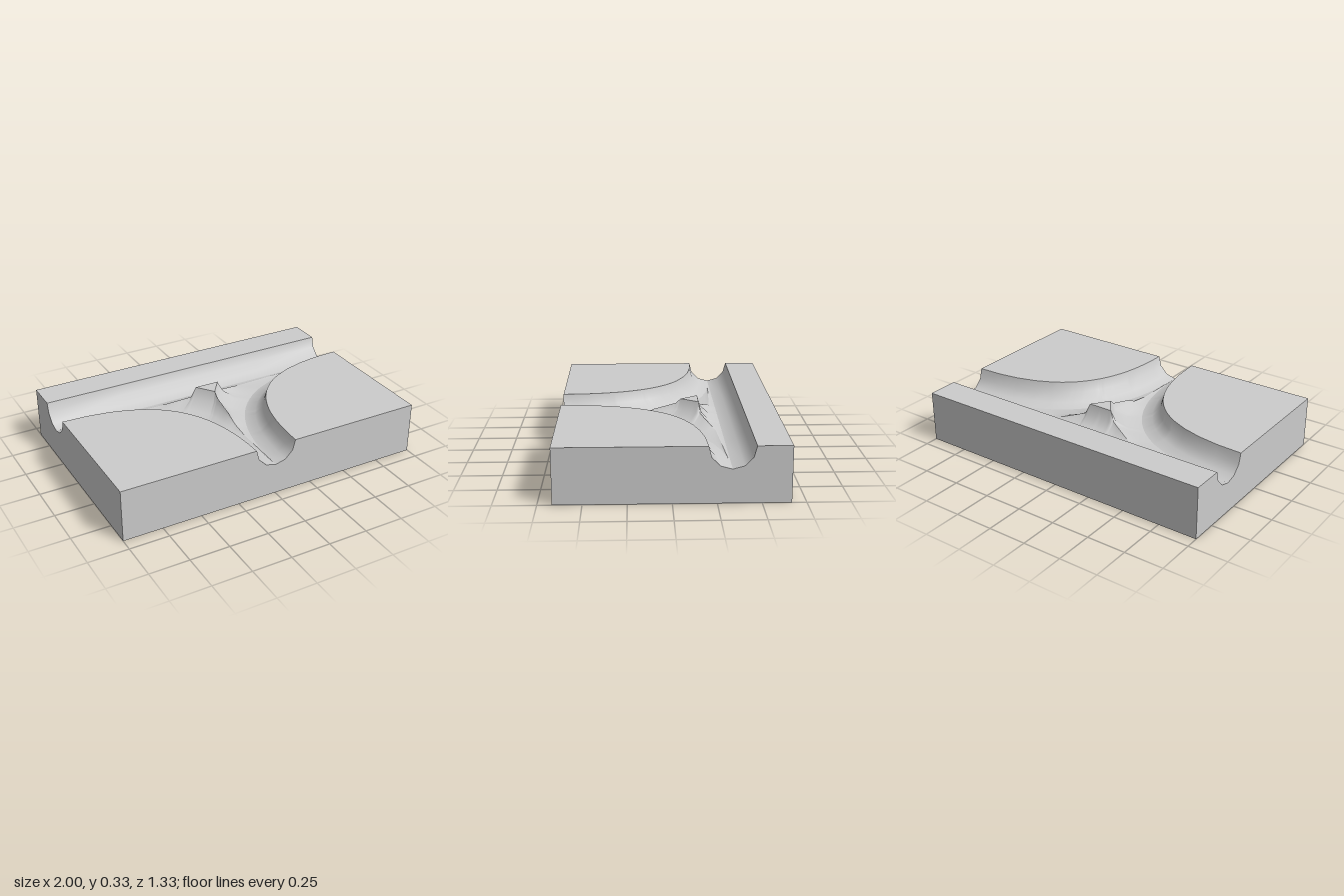
import * as THREE from 'three';

const W = 1, D = 0.667, H = 0.333, R = 0.133; // half width, half depth, height, groove radius
const ZC = -0.333;                            // centre line of the straight groove
const ARC = [0, 1, 2, 3].map(i => Math.sin(i * Math.PI / 6)); // quarter of a twelve-sided profile

// Ridge around the island: [curve parameter, x, y, z]
const RIDGE = [
  [0, 1, 0.2, ZC], [0.36, 0.3, 0.207, -0.295], [0.47, 0.11, 0.265, -0.21], [0.52, 0.08, H, -0.2],
  [0.62, 0, H, -0.09], [0.64, 0, 0.305, -0.06], [0.7, 0, 0.267, 0.08],
  [0.75, 0, 0.224, 0.18], [0.8, 0, 0.206, 0.3], [1, 0, 0.2, D],
];

// Split every span between knots
function subdivide(knots, n) {
  const out = [knots[0]];
  for (let i = 1; i < knots.length; i++) {
    for (let j = 1; j <= n; j++) out.push(THREE.MathUtils.lerp(knots[i - 1], knots[i], j / n));
  }
  return out;
}
const TS = subdivide(RIDGE.map(k => k[0]), 4);

// Point on the ridge at column c (0 = curve parameter, 1 = x)
function ridgeAt(v, c) {
  const rising = RIDGE[1][c] > RIDGE[0][c];
  let i = 1;
  while (i < RIDGE.length - 1 && (rising ? v > RIDGE[i][c] : v < RIDGE[i][c])) i++;
  const a = RIDGE[i - 1], b = RIDGE[i];
  const f = (v - a[c]) / (b[c] - a[c]);
  return new THREE.Vector3(...[1, 2, 3].map(k => a[k] + (b[k] - a[k]) * f));
}

// Centre line and rim of the curved groove
const centre = t => new THREE.Vector3((1 - t) ** 2, H - R, ZC + t * t);
function rim(t) {
  const n = new THREE.Vector3(t, 0, 1 - t).normalize().multiplyScalar(R);
  return centre(t).add(n).setY(H);
}

// Groove wall rising on a round profile from a floor line to a top line
function grooveWall(us, floor, top, mirror = 1) {
  const pos = [], idx = [], m = ARC.length;
  us.forEach((u, i) => {
    const a = floor(u), b = top(u);
    const k = Math.sqrt(Math.max(0, 1 - (1 - (b.y - a.y) / R) ** 2));
    ARC.forEach((s, j) => {
      const y = a.y + R * (1 - Math.sqrt(Math.max(0, 1 - (k * s) ** 2)));
      pos.push(mirror * (a.x + (b.x - a.x) * s), y, a.z + (b.z - a.z) * s);
      if (i && j) {
        const p = i * m + j, q = p - m;
        idx.push(q - 1, p - 1, p, q - 1, p, q);
      }
    });
  });
  const g = new THREE.BufferGeometry();
  g.setAttribute('position', new THREE.Float32BufferAttribute(pos, 3));
  g.setIndex(idx);
  g.computeVertexNormals();
  // Turn the faces upward where the mirroring flipped them
  const n = g.attributes.normal;
  let up = 0;
  for (let i = 0; i < n.count; i++) up += n.getY(i);
  if (up < 0) {
    for (let i = 0; i < idx.length; i += 3) [idx[i], idx[i + 1]] = [idx[i + 1], idx[i]];
    g.setIndex(idx);
    g.computeVertexNormals();
  }
  return g;
}

const polygon = pts => new THREE.ShapeGeometry(new THREE.Shape(pts.map(p => new THREE.Vector2(p[0], p[1]))));
// Flat horizontal face from [x, z] points
const flat = (pts, y) => polygon(pts.map(([x, z]) => [x, -z])).rotateX(-Math.PI / 2).translate(0, y, 0);

// Upright side with an optional groove opening centred at u
function side(half, u, angle, distance) {
  const pts = [[-half, 0], [half, 0], [half, H]];
  if (u !== null) {
    for (let i = 0; i <= 6; i++) {
      const a = i * Math.PI / 6;
      pts.push([u + R * Math.cos(a), H - R * Math.sin(a)]);
    }
  }
  pts.push([-half, H]);
  return polygon(pts).translate(0, 0, distance).rotateY(angle);
}

export function createModel() {
  const group = new THREE.Group();
  const mat = new THREE.MeshStandardMaterial({ color: 0xcccccc, side: THREE.DoubleSide });
  const add = (name, geometry) => {
    const mesh = new THREE.Mesh(geometry, mat);
    mesh.name = name;
    group.add(mesh);
  };

  // Outer faces of the block
  add('frontSide', side(W, 0, 0, D));
  add('backSide', side(W, null, Math.PI, D));
  add('leftSide', side(D, -ZC, Math.PI / 2, W));
  add('rightSide', side(D, ZC, -Math.PI / 2, W));
  add('underside', new THREE.PlaneGeometry(2 * W, 2 * D).rotateX(Math.PI / 2));
  add('backTop', flat([[-W, -D], [W, -D], [W, ZC - R], [-W, ZC - R]], H));

  // Back wall of the straight groove
  add('straightGrooveBack', grooveWall([-1, -0.5, 0, 0.5, 1],
    x => new THREE.Vector3(x, H - R, ZC), x => new THREE.Vector3(x, H, ZC - R)));

  // Curved grooves and the corner tops they cut off
  for (const [label, s] of [['left', 1], ['right', -1]]) {
    const edge = TS.map(t => { const p = rim(t); return [s * p.x, p.z]; });
    add(label + 'CornerTop', flat([...edge, [s * W, D]], H));
    add(label + 'CurveOuterWall', grooveWall(TS, centre, rim, s));
    add(label + 'IslandCurveWall', grooveWall(TS, centre, t => ridgeAt(t, 0), s));
    // Island wall along the straight groove
    const xs = subdivide([...RIDGE.slice(0, 4).map(k => k[1]), 0], 4);
    add(label + 'IslandStraightWall', grooveWall(xs,
      x => new THREE.Vector3(x, H - R, ZC),
      x => (x < RIDGE[3][1] ? new THREE.Vector3(x, H, RIDGE[3][3]) : ridgeAt(x, 1)), s));
  }

  // Small flat top of the island
  add('islandTop', flat([[-0.08, -0.2], [0.08, -0.2], [0, -0.09]], H));
  return group;
}
